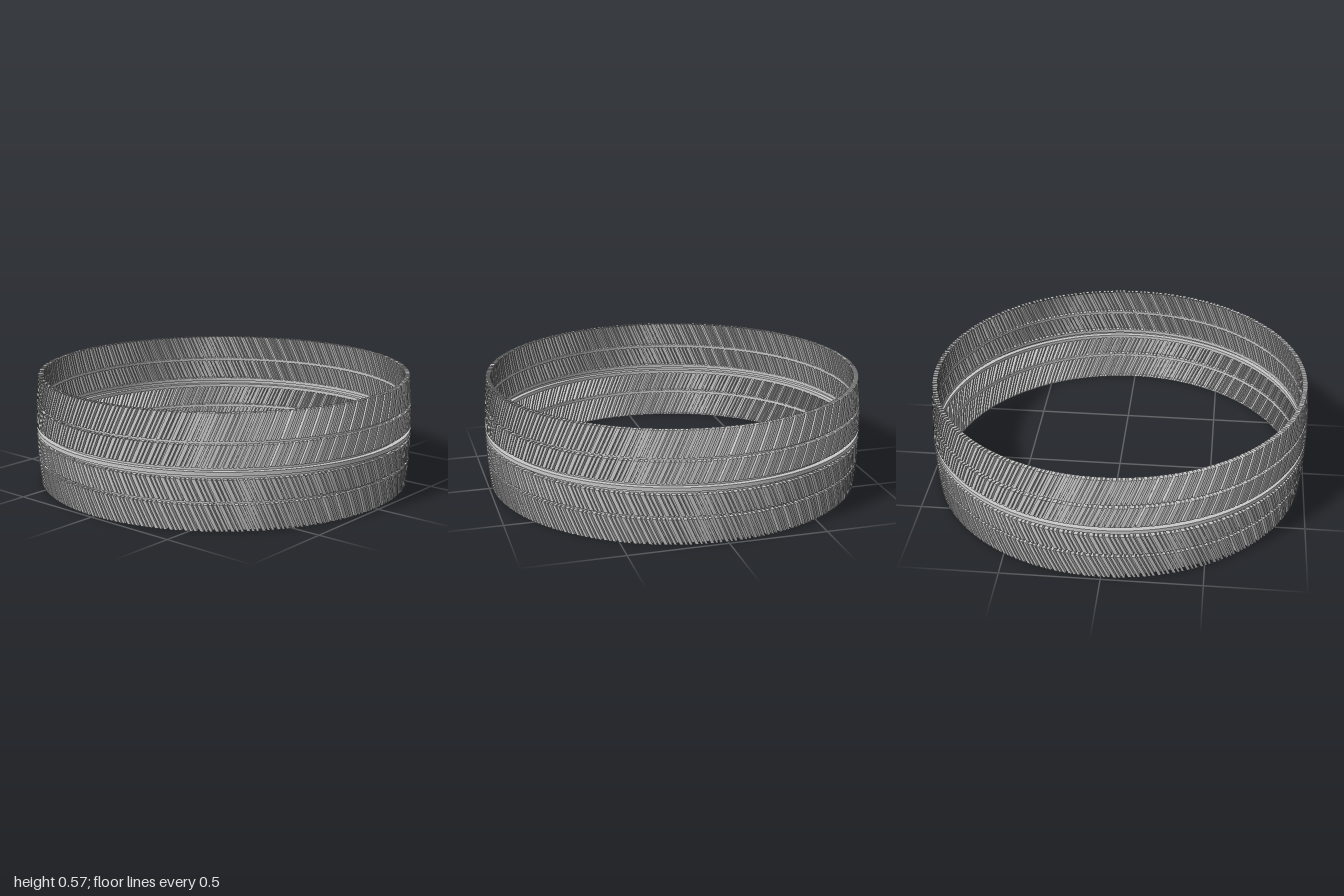
import * as THREE from 'three';

const HALF = 0.2875;      // half of the tread width
const DEPTH = 0.027;      // groove depth
const PITCHES = 84;       // repeats of the block pattern around the ring
const SLANT = 0.44;       // groove angle, radians of turn per unit of width
const STEP = (Math.PI * 2) / PITCHES;

const material = new THREE.MeshStandardMaterial({
  color: 0xcccccc, flatShading: true, side: THREE.DoubleSide,
});

// Crowned outer radius at distance d from the centre line
const crown = (d) => 1 - 0.016 * (d / HALF) ** 2;

// Point on the tread: turn angle, distance from centre line, sunk depth
function point(angle, d, sink, side) {
  const a = angle + SLANT * Math.abs(d);
  const r = crown(d) - sink;
  return [r * Math.sin(a), HALF + side * d, r * Math.cos(a)];
}

function quad(out, a, b, c, d, side) {
  if (side > 0) out.push(...a, ...b, ...c, ...a, ...c, ...d);
  else out.push(...a, ...c, ...b, ...a, ...d, ...c);
}

function toMesh(positions, name) {
  const g = new THREE.BufferGeometry();
  g.setAttribute('position', new THREE.Float32BufferAttribute(positions, 3));
  g.computeVertexNormals();
  const mesh = new THREE.Mesh(g, material);
  mesh.name = name;
  return mesh;
}

// One ring of hollow slanted blocks with groove floors between them
function blockRow(name, d0, d1, side, blocks) {
  const out = [];
  const rows = 3;
  for (let p = 0; p < PITCHES; p++) {
    const profile = [];
    for (const [start, end] of blocks) {
      profile.push([start, DEPTH], [start, 0], [end, 0], [end, DEPTH]);
    }
    profile.push([1 + blocks[0][0], DEPTH]);
    for (let i = 0; i < profile.length - 1; i++) {
      const [f0, s0] = profile[i];
      const [f1, s1] = profile[i + 1];
      const a0 = (p + f0) * STEP;
      const a1 = (p + f1) * STEP;
      for (let j = 0; j < rows; j++) {
        const u = d0 + ((d1 - d0) * j) / rows;
        const v = d0 + ((d1 - d0) * (j + 1)) / rows;
        quad(out, point(a0, u, s0, side), point(a1, u, s1, side),
          point(a1, v, s1, side), point(a0, v, s0, side), side);
      }
      // End walls of each raised block
      if (s0 === 0 && s1 === 0) {
        quad(out, point(a0, d0, DEPTH, side), point(a1, d0, DEPTH, side),
          point(a1, d0, 0, side), point(a0, d0, 0, side), side);
        quad(out, point(a0, d1, 0, side), point(a1, d1, 0, side),
          point(a1, d1, DEPTH, side), point(a0, d1, DEPTH, side), side);
      }
    }
  }
  return toMesh(out, name);
}

// Smooth bands that run around the ring, from [distance, depth] points
function band(name, profile) {
  const pts = profile.map(([d, sink]) => new THREE.Vector2(crown(d) - sink, HALF + d));
  const mesh = new THREE.Mesh(new THREE.LatheGeometry(pts, PITCHES * 2), material);
  mesh.name = name;
  return mesh;
}

export function createModel() {
  const tread = new THREE.Group();
  tread.name = 'treadRing';

  // Centre rib with a groove on each side
  tread.add(band('centreRib', [
    [-0.028, DEPTH], [-0.01, DEPTH], [-0.01, 0],
    [0.01, 0], [0.01, DEPTH], [0.028, DEPTH],
  ]));

  // Wide cross groove, then two narrow slits in each pitch
  const inner = [[0.12, 0.4], [0.48, 0.68], [0.76, 0.97]];
  const outer = [[0.14, 0.38], [0.48, 0.66], [0.76, 0.96]];

  for (const side of [1, -1]) {
    const label = side > 0 ? 'upper' : 'lower';
    tread.add(blockRow(label + 'InnerBlocks', 0.028, 0.137, side, inner));
    tread.add(blockRow(label + 'ShoulderBlocks', 0.153, HALF, side, outer));
    // Groove floor between the two rows
    const floor = [[0.137 * side, DEPTH], [0.153 * side, DEPTH]];
    if (side < 0) floor.reverse();
    tread.add(band(label + 'Groove', floor));
  }
  return tread;
}
